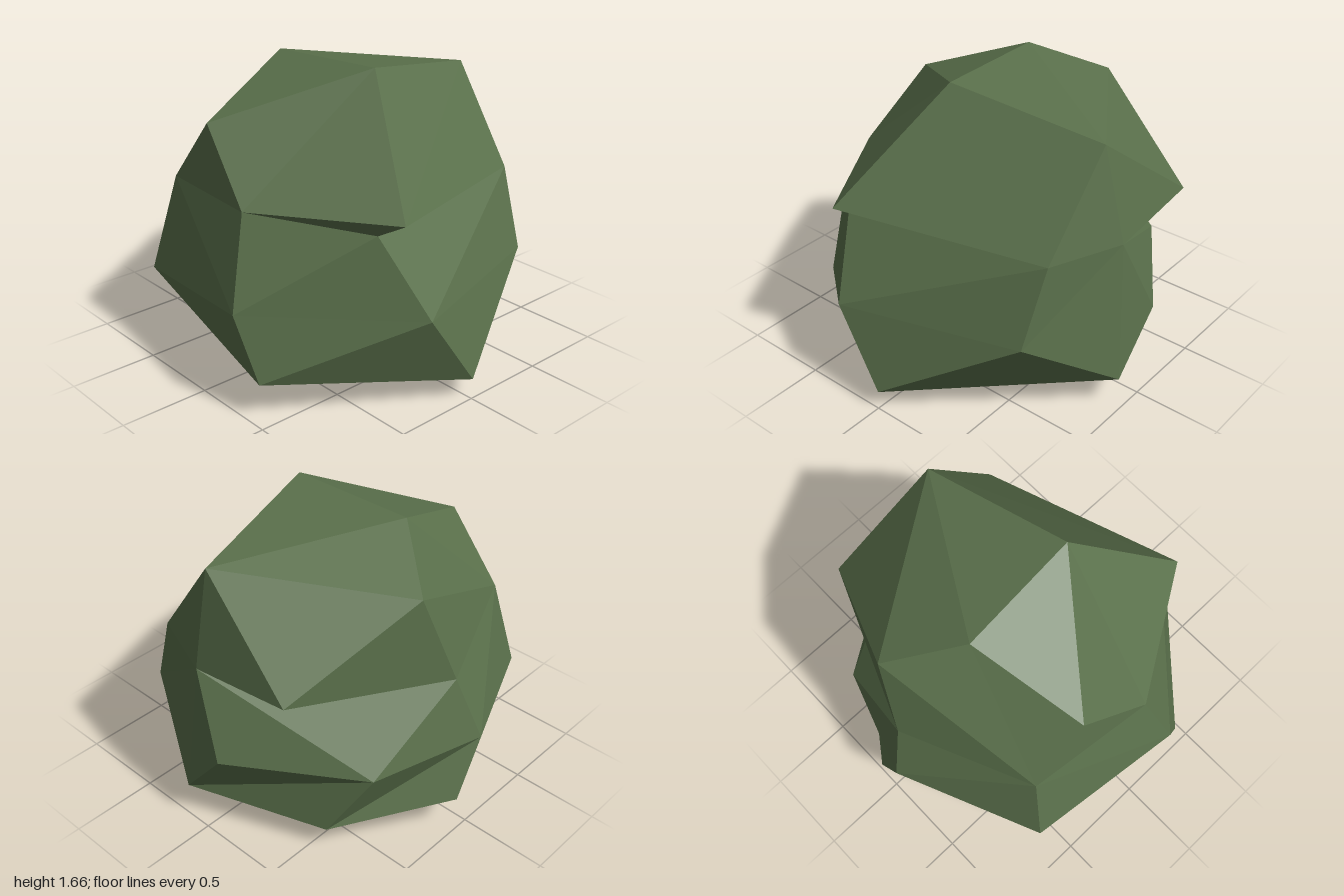
import * as THREE from 'three';

// Corner points of the boulder, keyed by letter
const corners = {
  // crown
  A: [-0.41, 1.635, 0.11], B: [0.3, 1.66, 0.06], C: [-0.24, 1.38, 0.74],
  M: [-0.77, 1.44, -0.185], R: [0.12, 1.515, -0.785],
  // waist, with the two overhanging ledges E and X
  D: [0.16, 1.03, 0.83], E: [0.87, 1.05, 0.385], F: [0.72, 0.965, 0.425],
  L: [-0.56, 1.0, 0.74], N: [-0.87, 0.91, 0.0], S: [0.515, 0.985, -0.75],
  W: [0.1, 0.98, -0.91], X: [-0.505, 1.03, -0.885],
  // belly
  G: [0.97, 0.54, 0.285], J: [0.27, 0.55, 0.99], K: [-0.64, 0.46, 0.87],
  O: [-1.0, 0.55, 0.08], T: [0.675, 0.55, -0.715], V: [-0.11, 0.515, -0.99],
  Y: [-0.79, 0.51, -0.54],
  // foot
  H: [1.0, 0.115, -0.005], I: [0.42, 0.2, 0.95], P: [-1.0, 0.22, -0.095],
  Q: [-0.56, 0.0, 0.545], U: [0.165, 0.185, -0.98], Z: [-0.59, 0.14, -0.68],
};

// Facets as counter-clockwise corner loops, grouped by region
const regions = {
  crown: ['RXMAB', 'BACD', 'BDE', 'ESRB', 'AMLC', 'RWX', 'MXN'],
  ledgeUndersides: ['DFE', 'EFS', 'XWN'],
  frontFace: ['CLD', 'LKJD', 'KQIJ', 'JIGFD'],
  leftFace: ['GTSF', 'GHT', 'GIH', 'HUT'],
  rightFace: ['MNL', 'LNOK', 'KOPQ', 'NYO', 'OYZP'],
  backFace: ['WRSTUV', 'WVYN', 'YVUZ'],
  underside: ['IQH', 'ZUHQP'],
};

// Fan each loop out from its first corner, unshared so edges stay sharp
function facetGeometry(loops) {
  const points = [];
  for (const loop of loops) {
    for (let i = 1; i < loop.length - 1; i++) {
      for (const key of [loop[0], loop[i], loop[i + 1]]) points.push(...corners[key]);
    }
  }
  const geometry = new THREE.BufferGeometry();
  geometry.setAttribute('position', new THREE.Float32BufferAttribute(points, 3));
  geometry.computeVertexNormals();
  return geometry;
}

export function createModel() {
  const mossGreen = new THREE.MeshStandardMaterial({ color: 0x5a704b, flatShading: true });
  mossGreen.name = 'moss green';

  const boulder = new THREE.Group();
  boulder.name = 'boulder';
  for (const [name, loops] of Object.entries(regions)) {
    const mesh = new THREE.Mesh(facetGeometry(loops), mossGreen);
    mesh.name = name;
    boulder.add(mesh);
  }
  return boulder;
}
